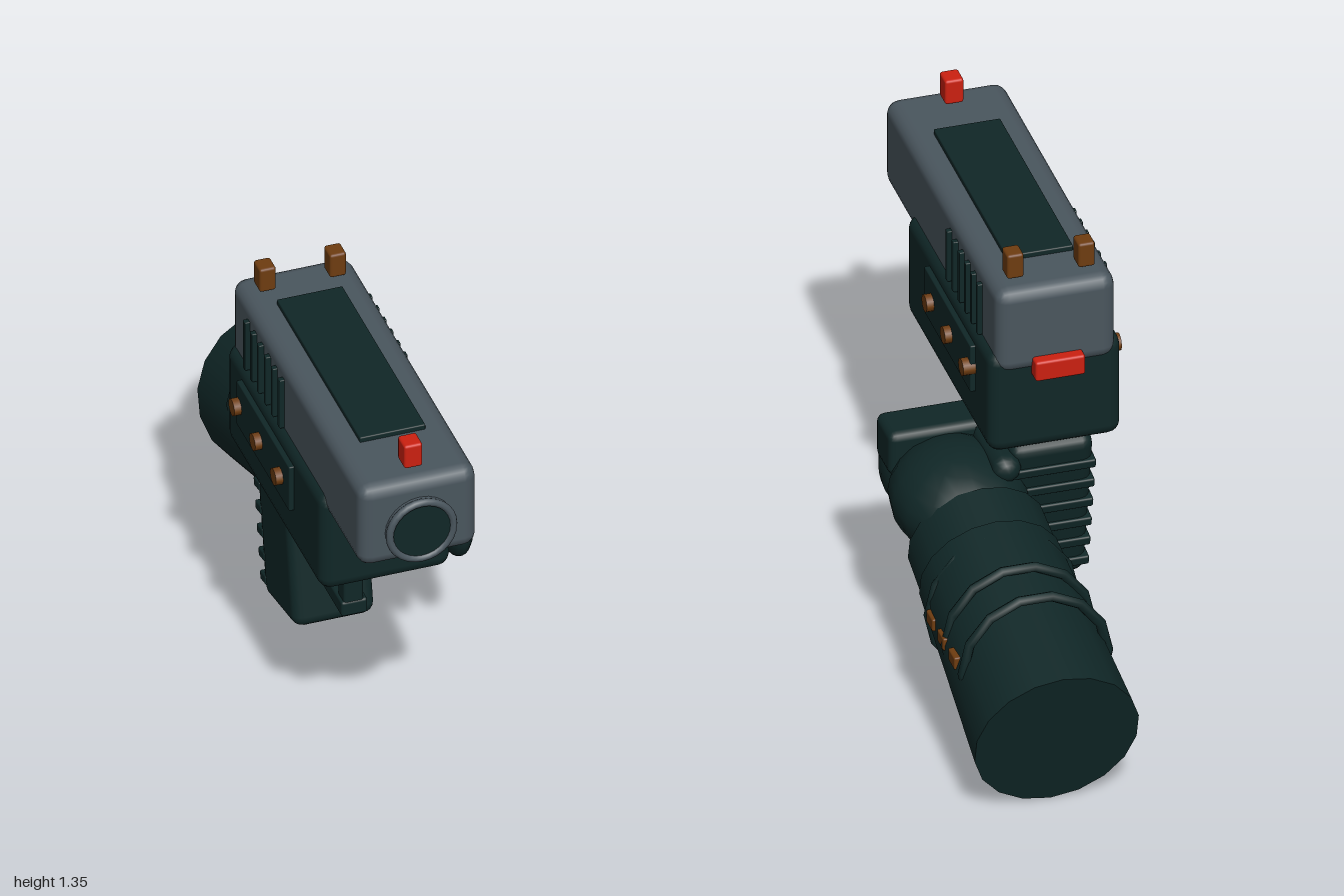
import * as THREE from 'three';
import { RoundedBoxGeometry } from 'three/addons/geometries/RoundedBoxGeometry.js';

function material(name, color) {
  const m = new THREE.MeshStandardMaterial({ color });
  m.name = name;
  return m;
}

export function createModel() {
  const dark = material('dark teal', 0x102727);
  const steel = material('steel grey', 0x4a565e);
  const bronze = material('bronze', 0x6e3c10);
  const red = material('signal red', 0xcc2010);
  const root = new THREE.Group();
  root.name = 'handheldBlaster';
  const midX = -0.13; // centre plane of the weapon

  function add(name, geometry, mat, x, y, z, parent = root) {
    const mesh = new THREE.Mesh(geometry, mat);
    mesh.name = name;
    mesh.position.set(x, y, z);
    parent.add(mesh);
    return mesh;
  }
  const box = (w, h, d, r = 0.008) => new RoundedBoxGeometry(w, h, d, 2, r);
  const ball = (rx, ry, rz) => new THREE.SphereGeometry(1, 16, 12).scale(rx, ry, rz);

  // Slide, frame and top plate
  add('slide', box(0.36, 0.28, 1.12, 0.04), steel, midX, 1.13, 0.41);
  add('frame', box(0.4, 0.335, 0.83, 0.04), dark, midX, 0.887, 0.275);
  add('topPlate', box(0.2, 0.02, 0.72, 0.004), dark, midX, 1.276, 0.38);

  // Muzzle
  const barrel = new THREE.CylinderGeometry(0.105, 0.105, 0.04, 24).rotateX(Math.PI / 2);
  add('muzzleBarrel', barrel, steel, midX, 1.105, 0.968);
  add('muzzleRing', new THREE.TorusGeometry(0.097, 0.012, 8, 28), steel, midX, 1.105, 0.988);
  add('muzzleBore', new THREE.CircleGeometry(0.09, 24), dark, midX, 1.105, 0.992);

  // Sights and rear catch
  add('frontSight', box(0.056, 0.08, 0.062), red, midX, 1.32, 0.89);
  for (const s of [-1, 1]) {
    add('rearSight', box(0.05, 0.08, 0.058), bronze, midX + s * 0.107, 1.318, -0.063);
  }
  add('rearCatch', box(0.15, 0.065, 0.06), red, midX, 1.008, -0.155);

  // Vents, side panels and bolts on both sides
  for (const s of [-1, 1]) {
    for (let i = 0; i < 6; i++) {
      add('slideVent', box(0.03, 0.17, 0.02, 0.003), dark, midX + s * 0.18, 1.135, 0.305 - i * 0.06);
    }
    add('sidePanel', box(0.04, 0.155, 0.455, 0.004), dark, midX + s * 0.196, 0.935, 0.227);
    for (let i = 0; i < 3; i++) {
      const bolt = new THREE.CylinderGeometry(0.027, 0.027, 0.05, 10).rotateZ(Math.PI / 2);
      add('bolt', bolt, bronze, midX + s * 0.213, 0.935, 0.38 - i * 0.18);
    }
  }

  // Grip with ribs across its back
  const grip = new THREE.Group();
  grip.name = 'grip';
  grip.position.set(-0.125, 0.49, 0.05);
  grip.rotation.x = -0.185;
  root.add(grip);
  add('gripBody', box(0.25, 0.52, 0.28, 0.035), dark, 0, 0, 0, grip);
  for (let i = 0; i < 6; i++) {
    add('gripRib', box(0.258, 0.03, 0.05, 0.006), dark, 0, 0.17 - i * 0.075, -0.125, grip);
  }

  // Trigger and guard
  add('guardFront', box(0.06, 0.24, 0.055), dark, -0.128, 0.54, 0.37);
  add('guardBottom', box(0.08, 0.05, 0.22), dark, -0.126, 0.425, 0.29);
  const trigger = add('trigger', box(0.045, 0.1, 0.045), bronze, -0.128, 0.628, 0.27);
  trigger.rotation.x = 0.35;

  // Gloved fist
  add('palm', ball(0.2, 0.16, 0.25), dark, 0.13, 0.53, -0.03);
  add('knuckleGuard', box(0.375, 0.145, 0.145, 0.025), dark, 0.113, 0.62, 0.163);
  for (let i = 0; i < 4; i++) {
    const x = -0.025 + i * 0.09;
    add('finger', ball(0.047, 0.1, 0.1), dark, x, 0.505, 0.203);
    add('knucklePlate', box(0.066, 0.05, 0.06), bronze, x, 0.605, 0.255);
  }
  const thumb = new THREE.CapsuleGeometry(0.045, 0.17, 5, 10).rotateX(Math.PI / 2);
  add('thumb', thumb, dark, 0.015, 0.66, -0.03);

  // Forearm sleeve, flaring towards the open end of the sleeve
  const arm = new THREE.Group();
  arm.name = 'forearm';
  arm.position.set(0.11, 0.455, -0.145);
  arm.rotation.x = 1.309;
  root.add(arm);
  add('gloveCuff', new THREE.CylinderGeometry(0.208, 0.212, 0.17, 18), dark, 0, -0.085, 0, arm);
  add('sleeve', new THREE.CylinderGeometry(0.216, 0.247, 0.67, 18), dark, 0, -0.477, 0, arm);

  // Straps and plates round the sleeve
  for (let i = 0; i < 3; i++) {
    add('strap', new THREE.TorusGeometry(0.218, 0.016, 6, 14), dark, 0.11, 0.38, -0.385 - i * 0.167);
    add('armPlate', box(0.03, 0.04, 0.062, 0.005), bronze, 0.326, 0.387, -0.43 - i * 0.108);
  }
  return root;
}
